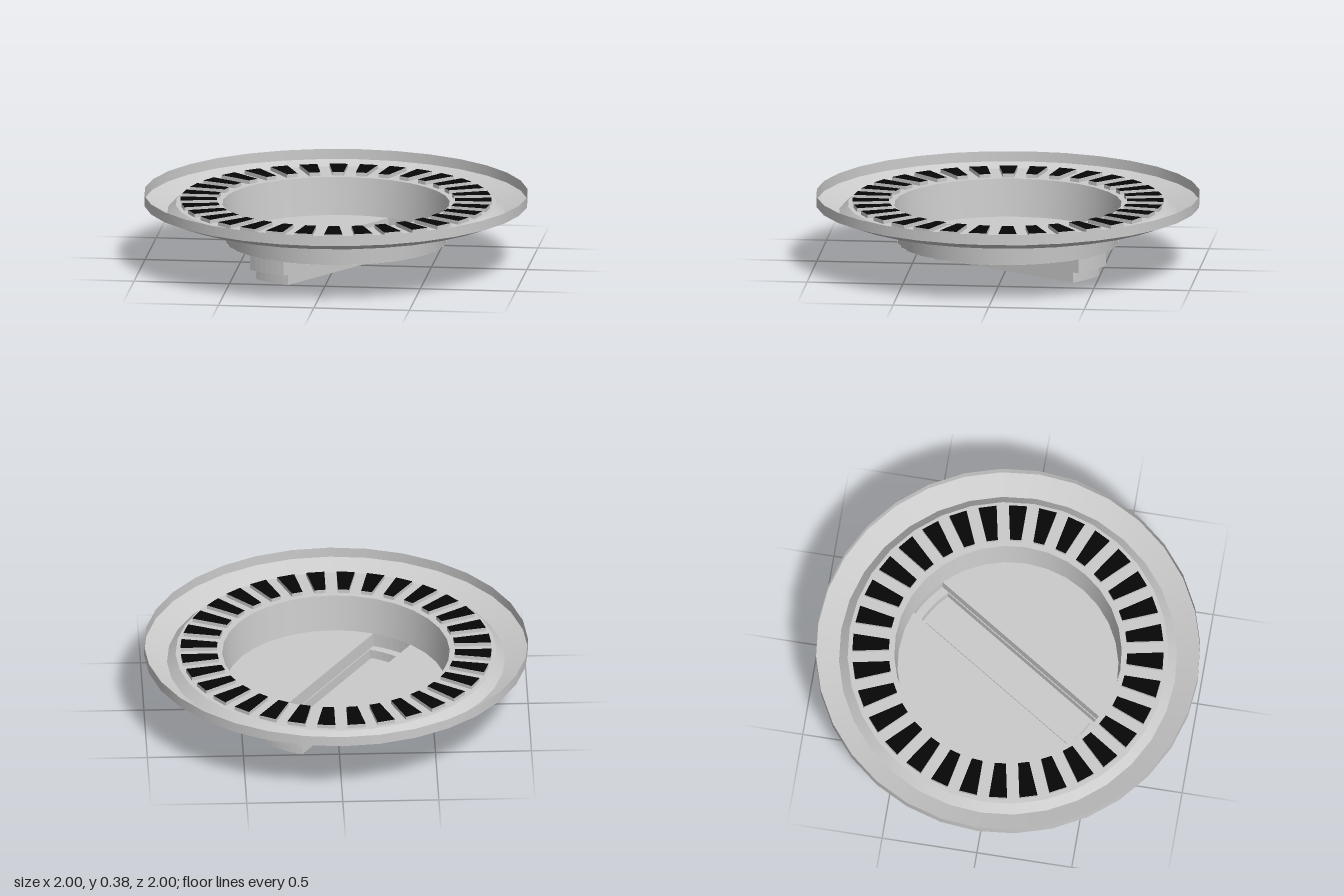
import * as THREE from 'three';
import { mergeGeometries } from 'three/addons/utils/BufferGeometryUtils.js';

const grey = new THREE.MeshStandardMaterial({ color: 0xcccccc, side: THREE.DoubleSide });
const black = new THREE.MeshStandardMaterial({ color: 0x060606, side: THREE.DoubleSide });

const SIDES = 32;
const GRATE_Y = 0.33, CAP_Y = 0.35, CUP_Y = 0.131, STEP_Y = 0.057;
const CUP_R = 0.575;

function mesh(name, geometry, material = grey) {
  const m = new THREE.Mesh(geometry, material);
  m.name = name;
  return m;
}

// Turned band between two [radius, height] points
function band(name, a, b) {
  return mesh(name, new THREE.LatheGeometry([new THREE.Vector2(...a), new THREE.Vector2(...b)], SIDES));
}

// Lays a shape drawn in XY flat at height y
function flat(shape, y) {
  return new THREE.ShapeGeometry(shape, SIDES / 2).rotateX(-Math.PI / 2).translate(0, y, 0);
}

// Flat frame between two closed outlines
function frame(outer, inner, y) {
  const shape = new THREE.Shape(outer);
  shape.holes.push(new THREE.Path(inner));
  return flat(shape, y);
}

// Upright wall along a closed outline drawn anticlockwise, facing outwards
function wall(points, y0, y1) {
  const parts = points.map((p, i) => {
    const q = points[(i + 1) % points.length];
    const g = new THREE.PlaneGeometry(Math.hypot(q.x - p.x, q.y - p.y), y1 - y0);
    g.rotateY(Math.atan2(q.y - p.y, q.x - p.x));
    return g.translate((p.x + q.x) / 2, (y0 + y1) / 2, -(p.y + q.y) / 2);
  });
  return mergeGeometries(parts);
}

// Four corners of a slot between two spokes of constant width
function slotCorners(i) {
  const half = Math.PI / SIDES, mid = (2 * i + 1) * half, spoke = 0.032;
  const corner = (r, side) => {
    const a = mid + side * (half - Math.asin(spoke / r));
    return new THREE.Vector2(r * Math.cos(a), r * Math.sin(a));
  };
  return [corner(0.62, -1), corner(0.81, -1), corner(0.81, 1), corner(0.62, 1)];
}

// Straight-sided strip whose ends follow a circle of radius r
function stripPoints(r, w) {
  const a = Math.asin(w / r), pts = [];
  for (const start of [0, Math.PI]) {
    for (let i = 0; i <= 6; i++) {
      const t = start - a + (2 * a * i) / 6;
      pts.push(new THREE.Vector2(r * Math.cos(t), r * Math.sin(t)));
    }
  }
  return pts;
}

export function createModel() {
  const model = new THREE.Group();

  // Dished rim and cup side
  model.add(
    band('rimWall', [1, 0.385], [1, 0.331]),
    band('rimSlope', [1, 0.331], [0.88, 0.286]),
    band('rimInnerSlope', [0.88, 0.286], [0.835, GRATE_Y]),
    band('cupWall', [0.592, GRATE_Y], [CUP_R, CUP_Y]),
  );

  // Grate ring with raised blocks, hollow from below
  const ring = new THREE.Shape().absarc(0, 0, 0.835, 0, Math.PI * 2);
  ring.holes.push(new THREE.Path().absarc(0, 0, 0.592, 0, Math.PI * 2, true));
  const walls = [], caps = [], linings = [];
  for (let i = 0; i < SIDES; i++) {
    const corners = slotCorners(i);
    ring.holes.push(new THREE.Path(corners));
    walls.push(wall(corners, GRATE_Y, CAP_Y));
    caps.push(flat(new THREE.Shape(corners), CAP_Y));
    linings.push(flat(new THREE.Shape(corners), CAP_Y - 0.004));
  }
  model.add(
    mesh('grateRing', flat(ring, GRATE_Y)),
    mesh('blockWalls', mergeGeometries(walls)),
    mesh('blockCaps', mergeGeometries(caps), black),
    mesh('blockLinings', mergeGeometries(linings)),
  );

  // Cup floor and grip channel, turned together
  const base = new THREE.Group();
  base.name = 'cupBase';
  base.rotation.y = THREE.MathUtils.degToRad(56.9);
  model.add(base);

  // Floor halves on both sides of the channel
  const width = 0.113, a = Math.asin(width / CUP_R);
  for (const start of [0, Math.PI]) {
    const half = new THREE.Shape().absarc(0, 0, CUP_R, start + a, start + Math.PI - a);
    base.add(mesh('cupFloor', flat(half, CUP_Y)));
  }

  // Channel stepping down to a hollow grip, its underside slightly recessed
  const upper = stripPoints(CUP_R, width);
  const lower = stripPoints(0.532, 0.108);
  const recess = stripPoints(0.505, 0.082);
  const recessY = 0.025;
  base.add(
    mesh('channelWall', wall(upper, STEP_Y, CUP_Y)),
    mesh('channelLedge', frame(upper, lower, STEP_Y)),
    mesh('gripWall', wall(lower, 0, STEP_Y)),
    mesh('gripEdge', frame(lower, recess, 0)),
    mesh('gripRecessWall', wall(recess, 0, recessY)),
    mesh('gripRecessFloor', flat(new THREE.Shape(recess), recessY)),
  );

  return model;
}
